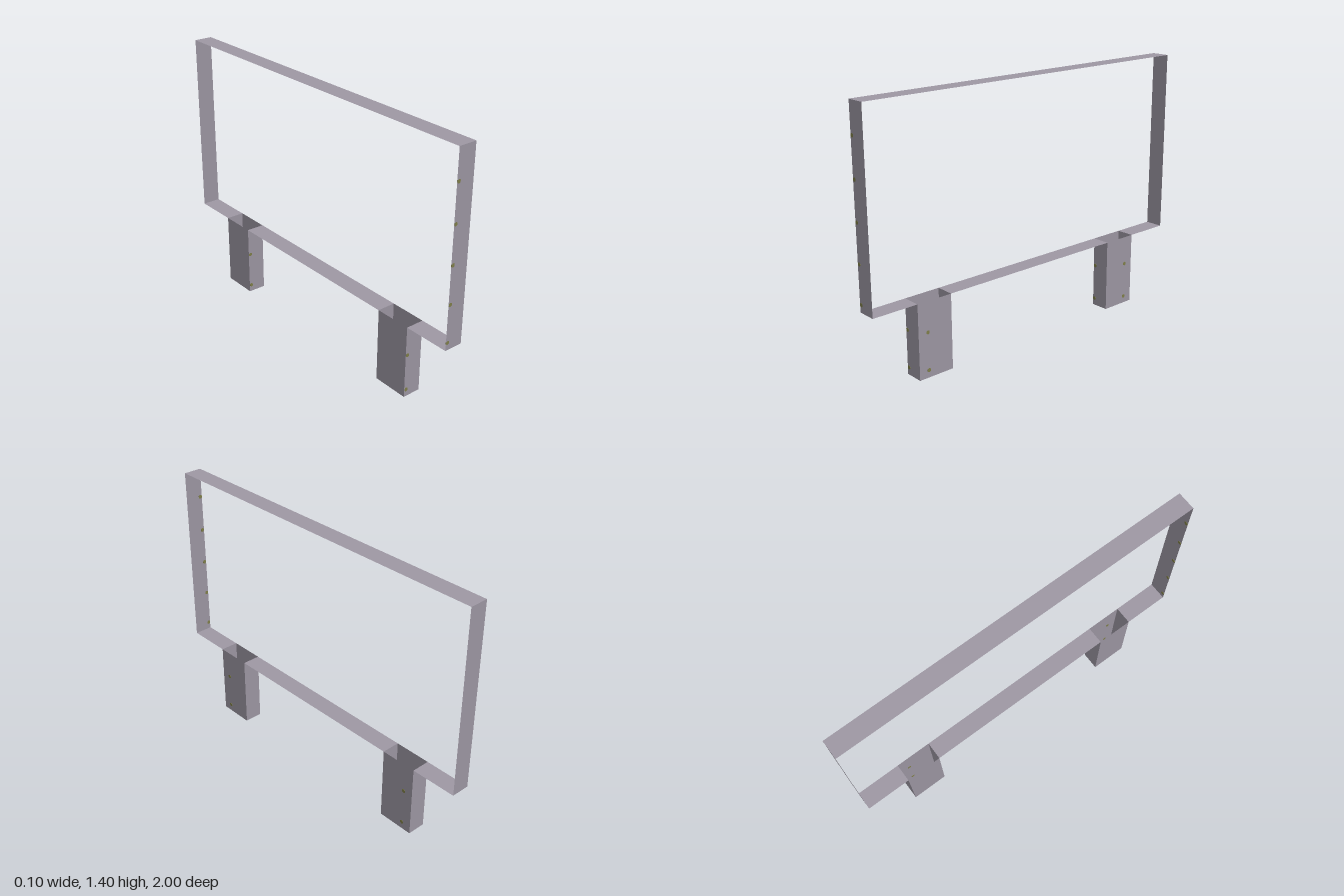
import * as THREE from 'three';

const W = 0.1, BASE = 0.4, TOP = 1.4, END = 1, LEG_IN = 0.55, LEG_OUT = 0.75;

export function createModel() {
  const model = new THREE.Group();
  model.name = 'openFrameStand';
  const metal = new THREE.MeshStandardMaterial({ color: 0x9e98a4 });
  metal.name = 'mauve grey metal';
  metal.side = THREE.DoubleSide;
  const olive = new THREE.MeshStandardMaterial({ color: 0x80804a });
  olive.name = 'olive speck';

  const add = (parent, name, geometry, material, x, y, z) => {
    const mesh = new THREE.Mesh(geometry, material);
    mesh.name = name;
    mesh.position.set(x, y, z);
    parent.add(mesh);
  };
  // Thin sheets: level strip, wall across x, wall along z
  const strip = (parent, name, y, z0, z1) =>
    add(parent, name, new THREE.PlaneGeometry(W, z1 - z0).rotateX(-Math.PI / 2), metal, 0, y, (z0 + z1) / 2);
  const endWall = (parent, name, z, y0, y1, side) =>
    add(parent, name, new THREE.PlaneGeometry(W, y1 - y0).rotateY(side > 0 ? 0 : Math.PI), metal, 0, (y0 + y1) / 2, z);
  const sideWall = (parent, name, x, z, width, height) =>
    add(parent, name, new THREE.PlaneGeometry(width, height).rotateY(Math.sign(x) * Math.PI / 2), metal, x, height / 2, z);

  // Open rectangular frame, its lower strip interrupted above each leg
  const frame = new THREE.Group();
  frame.name = 'frame';
  model.add(frame);
  strip(frame, 'topStrip', TOP, -END, END);
  strip(frame, 'bottomStripMiddle', BASE, -LEG_IN, LEG_IN);
  strip(frame, 'bottomStripFront', BASE, LEG_OUT, END);
  strip(frame, 'bottomStripBack', BASE, -END, -LEG_OUT);
  for (const s of [1, -1]) endWall(frame, s > 0 ? 'frontEnd' : 'backEnd', s * END, BASE, TOP, s);

  // Small specks near the right edge of the front end
  const speck = new THREE.CylinderGeometry(0.011, 0.011, 0.003, 6).rotateX(Math.PI / 2);
  for (let i = 0; i < 5; i++) add(frame, 'frameSpeck', speck, olive, -0.039, 0.44 + i * 0.2, END - 0.001);

  // Hollow legs, closed below and open into the frame
  const sideSpeck = speck.clone().rotateY(Math.PI / 2);
  for (const s of [1, -1]) {
    const leg = new THREE.Group();
    leg.name = s > 0 ? 'frontLeg' : 'backLeg';
    model.add(leg);
    const z = s * (LEG_IN + LEG_OUT) / 2, half = (LEG_OUT - LEG_IN) / 2;
    strip(leg, 'legFoot', 0, z - half, z + half);
    endWall(leg, 'legFrontWall', z + half, 0, BASE, 1);
    endWall(leg, 'legBackWall', z - half, 0, BASE, -1);
    for (const x of [-W / 2, W / 2]) sideWall(leg, 'legSideWall', x, z, half * 2, BASE);
    for (const y of [0.04, 0.24]) {
      add(leg, 'legFrontSpeck', speck, olive, -0.039, y, z + half);
      add(leg, 'legSideSpeck', sideSpeck, olive, W / 2, y, s * 0.695);
    }
  }
  return model;
}
